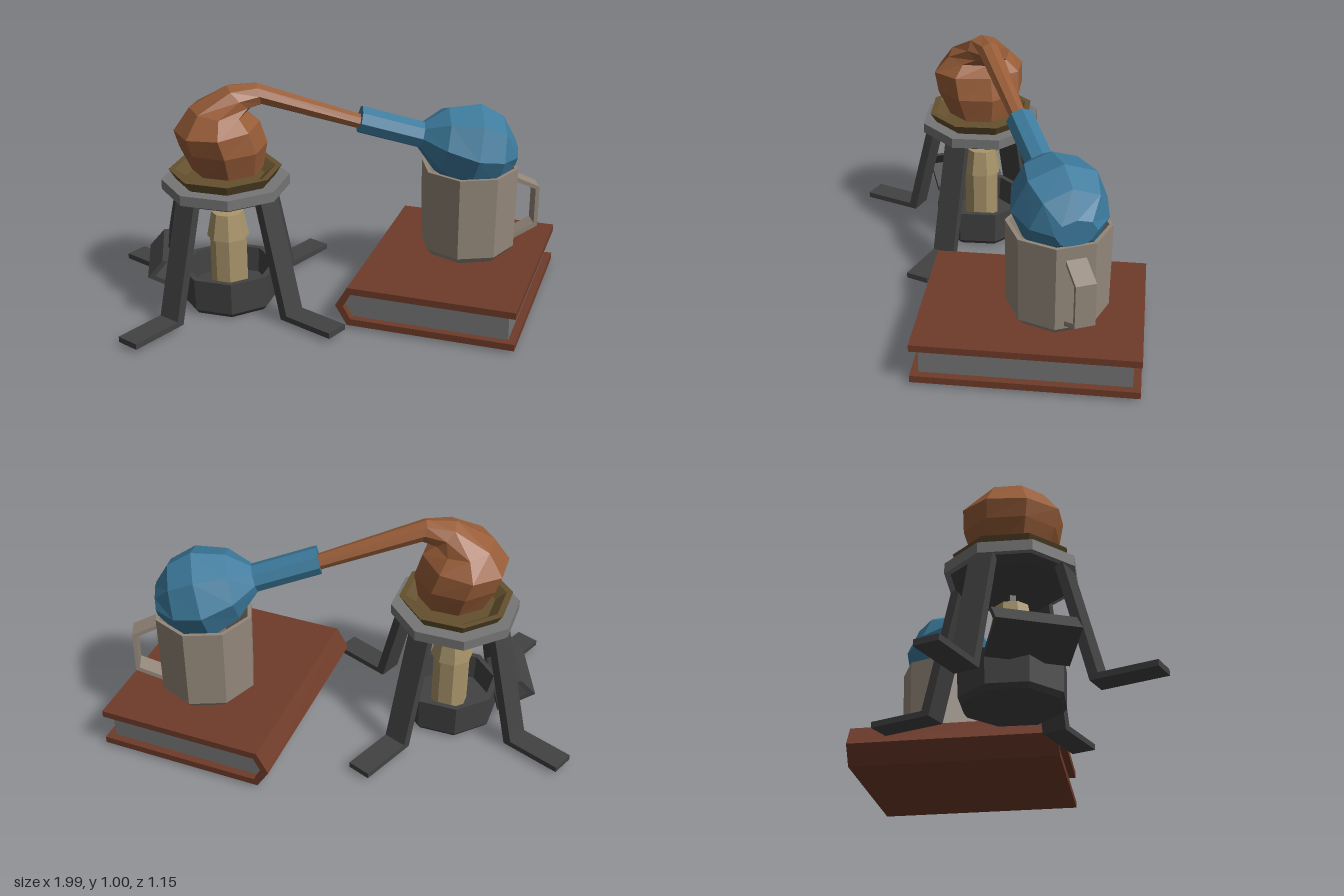
import * as THREE from 'three';

const mat = (name, color) => {
  const m = new THREE.MeshStandardMaterial({ color });
  m.name = name;
  return m;
};

export function createModel() {
  const root = new THREE.Group();
  root.name = 'distillery';
  const copper = mat('copper', 0x985d38), blue = mat('blue glaze', 0x3c7a9c);
  const clay = mat('mug clay', 0x93877a), iron = mat('dark iron', 0x424242);
  const steel = mat('grey', 0x767676), leather = mat('book leather', 0x6f3b29);
  const wax = mat('candle wax', 0xa8946a), bronze = mat('dark bronze', 0x64502f);
  const AX = -0.528, MX = 0.54, CZ = -0.075; // stand axis, mug axis, shared depth

  // Faceted mesh: unshared vertices give flat normals
  const add = (parent, name, geo, material, x = 0, y = 0, z = 0) => {
    const flat = geo.index ? geo.toNonIndexed() : geo;
    flat.computeVertexNormals();
    const m = new THREE.Mesh(flat, material);
    m.name = name;
    m.position.set(x, y, z);
    parent.add(m);
    return m;
  };
  const lathe = (pts, sides = 8) =>
    new THREE.LatheGeometry(pts.map(p => new THREE.Vector2(...p)), sides);
  const prism = (pts, depth) => new THREE.ExtrudeGeometry(
    new THREE.Shape(pts.map(p => new THREE.Vector2(...p))),
    { depth, bevelEnabled: false }).translate(0, 0, -depth / 2);

  // Tube through elliptical sections [topX, topY, bottomX, bottomY, halfDepth]
  const loft = (sections, sides = 8) => {
    const pos = [];
    const rings = sections.map(([tx, ty, bx, by, w]) => {
      const c = [(tx + bx) / 2, (ty + by) / 2, 0];
      const pts = [];
      for (let j = 0; j < sides; j++) {
        const a = j / sides * Math.PI * 2, k = Math.cos(a) / 2;
        pts.push([c[0] + (tx - bx) * k, c[1] + (ty - by) * k, w * Math.sin(a)]);
      }
      return { c, pts };
    });
    const last = rings[rings.length - 1];
    for (let j = 0; j < sides; j++) {
      const n = (j + 1) % sides;
      for (let i = 0; i < rings.length - 1; i++) {
        const p = rings[i].pts, q = rings[i + 1].pts;
        pos.push(...p[j], ...p[n], ...q[n], ...p[j], ...q[n], ...q[j]);
      }
      pos.push(...rings[0].c, ...rings[0].pts[n], ...rings[0].pts[j]);
      pos.push(...last.c, ...last.pts[j], ...last.pts[n]);
    }
    const g = new THREE.BufferGeometry();
    g.setAttribute('position', new THREE.Float32BufferAttribute(pos, 3));
    return g;
  };

  // Tripod: octagonal ring, plate beneath, four splayed legs with feet
  const tripod = new THREE.Group();
  tripod.name = 'tripod';
  tripod.position.set(AX, 0, CZ);
  root.add(tripod);
  add(tripod, 'ring', lathe([[0.2, 0.535], [0.276, 0.535], [0.276, 0.58], [0.2, 0.58], [0.2, 0.535]]), steel);
  add(tripod, 'underPlate', lathe([[0, 0.508], [0.22, 0.508], [0.25, 0.535], [0, 0.535]]), iron);
  const legShape = [[0.615, 0.02], [0.615, 0.045], [0.378, 0.045], [0.25, 0.535], [0.212, 0.535], [0.345, 0.02]];
  for (let i = 0; i < 4; i++) {
    add(tripod, 'leg', prism(legShape, 0.104), iron).rotation.y = Math.PI / 4 + i * Math.PI / 2;
  }

  // Burner: open pan with a folded grip, candle and wick
  const burner = new THREE.Group();
  burner.name = 'burner';
  burner.position.set(AX, 0, CZ);
  root.add(burner);
  add(burner, 'pan', lathe([[0, 0], [0.2, 0], [0.216, 0.02], [0.22, 0.165], [0.195, 0.165], [0.185, 0.05], [0, 0.05]]), iron);
  add(burner, 'panGrip', prism([[-0.19, 0.11], [-0.35, 0.195], [-0.285, 0.268], [-0.262, 0.268],
    [-0.318, 0.2], [-0.19, 0.135]], 0.33), iron);
  add(burner, 'candle', lathe([[0, 0.05], [0.08, 0.05], [0.08, 0.3], [0.092, 0.305], [0.07, 0.42], [0, 0.425]]), wax);
  add(burner, 'wick', new THREE.BoxGeometry(0.025, 0.06, 0.025), iron, 0, 0.442, 0);

  // Shallow dish holding the still
  add(root, 'dish', lathe([[0, 0.55], [0.19, 0.55], [0.215, 0.58], [0.243, 0.625], [0.215, 0.625], [0.17, 0.59], [0, 0.59]]),
    bronze, AX, 0, CZ);

  // Copper still: round belly drawn over into a long sloping neck
  add(root, 'still', loft([
    [-0.67, 0.62, -0.365, 0.62, 0.15],
    [-0.72, 0.73, -0.345, 0.73, 0.2],
    [-0.74, 0.8, -0.375, 0.83, 0.21],
    [-0.67, 0.9, -0.43, 0.87, 0.145],
    [-0.51, 0.99, -0.41, 0.89, 0.08],
    [-0.385, 0.998, -0.365, 0.903, 0.05],
    [0.09, 0.83, 0.075, 0.768, 0.036],
  ]), copper, 0, 0, CZ);

  // Blue receiver: sleeve around the neck widening into a bulb
  add(root, 'receiver', loft([
    [0.066, 0.877, 0.04, 0.76, 0.064],
    [0.335, 0.795, 0.305, 0.68, 0.064],
    [0.44, 0.855, 0.38, 0.57, 0.158],
    [0.58, 0.867, 0.5, 0.48, 0.202],
    [0.68, 0.81, 0.635, 0.49, 0.165],
    [0.737, 0.705, 0.728, 0.585, 0.088],
  ]), blue, 0, 0, CZ);

  // Octagonal mug with flat sides facing front and handle
  const mug = new THREE.Group();
  mug.name = 'mug';
  mug.position.set(MX, 0, CZ);
  root.add(mug);
  add(mug, 'mugBody', lathe([[0, 0.19], [0.18, 0.19], [0.21, 0.222], [0.215, 0.592], [0.198, 0.592], [0.195, 0.25], [0, 0.25]]),
    clay).rotation.y = Math.PI / 8;
  add(mug, 'mugHandle', prism([[0.19, 0.54], [0.31, 0.485], [0.31, 0.296], [0.19, 0.232],
    [0.19, 0.254], [0.293, 0.308], [0.293, 0.474], [0.19, 0.52]], 0.085), clay);

  // Book turned on the table: wrap cover with pointed spine, page block
  const book = new THREE.Group();
  book.name = 'book';
  book.position.set(0.4515, 0, -0.0055);
  book.rotation.y = -0.426;
  root.add(book);
  add(book, 'cover', prism([[0.3875, 0.19], [-0.335, 0.19], [-0.3875, 0.1], [-0.335, 0.013], [0.3875, 0.013],
    [0.3875, 0.043], [-0.32, 0.043], [-0.353, 0.1], [-0.32, 0.16], [0.3875, 0.16]], 0.914), leather);
  add(book, 'pages', prism([[0.355, 0.165], [-0.325, 0.165], [-0.36, 0.1], [-0.325, 0.038], [0.355, 0.038]], 0.85), steel);

  return root;
}
